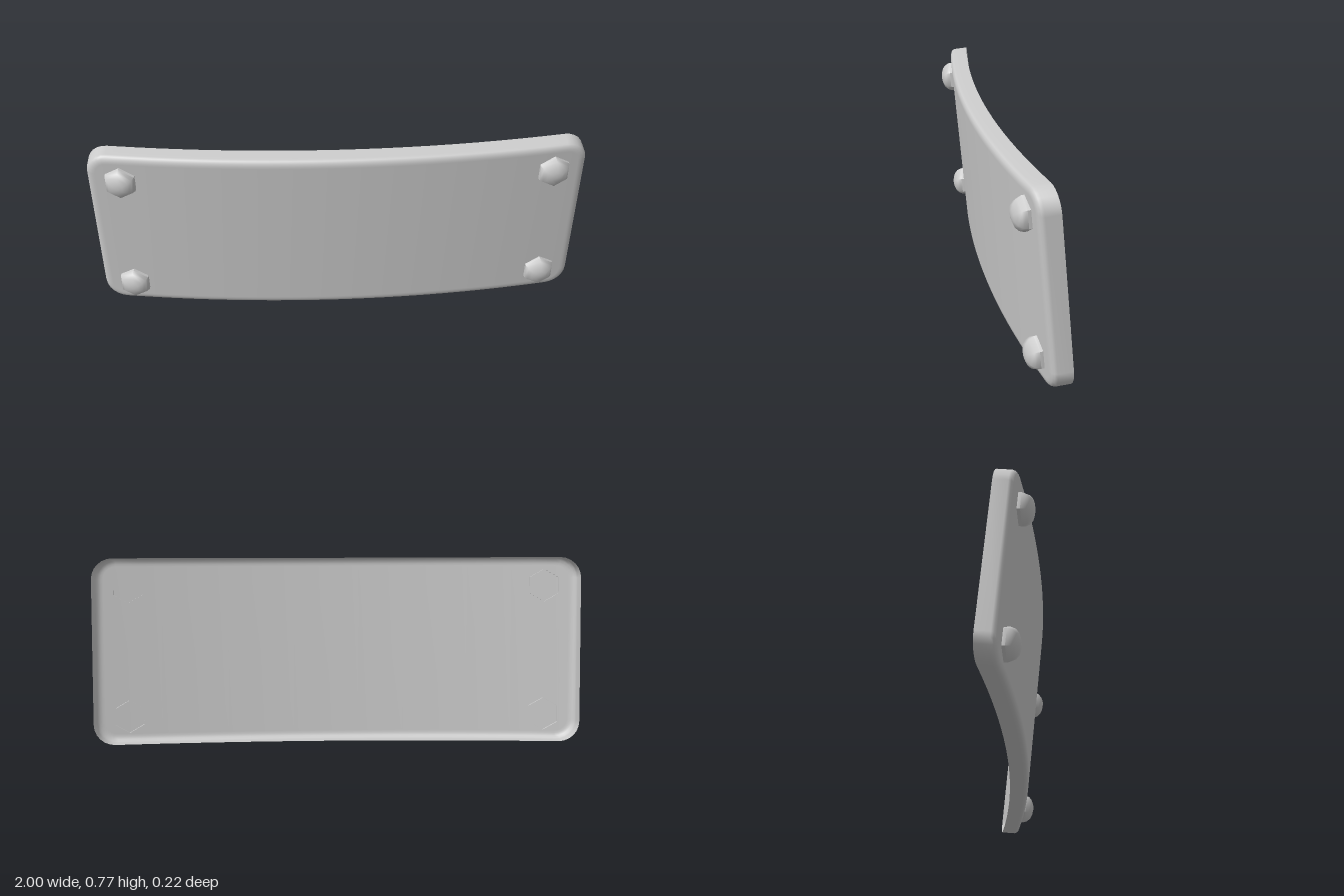
import * as THREE from 'three';
import { toCreasedNormals } from 'three/addons/utils/BufferGeometryUtils.js';

const HALF_W = 1, HALF_H = 0.382, CORNER = 0.085, SAG = 0.08;
const bow = (x) => -SAG * x * x;

// Rounded rectangle, anticlockwise: upper half from right to left, then its mirror
function outline(inset) {
  const cx = HALF_W - CORNER, cy = HALF_H - CORNER, r = CORNER - inset;
  const upper = [], arc = 6, cols = 20;
  for (let i = 0; i <= arc; i++) {
    const a = (i / arc) * Math.PI / 2;
    upper.push([cx + r * Math.cos(a), cy + r * Math.sin(a)]);
  }
  for (let i = 1; i < cols; i++) upper.push([cx * (1 - 2 * i / cols), cy + r]);
  for (let i = 0; i <= arc; i++) {
    const a = (1 + i / arc) * Math.PI / 2;
    upper.push([-cx + r * Math.cos(a), cy + r * Math.sin(a)]);
  }
  return [...upper, ...upper.map(([x, y]) => [x, -y]).reverse()];
}

// Bowed shell: rim rings from the open back to the front, closed by a front face
function shellGeometry() {
  const rings = [[0, -0.077], [0, -0.02], [0.004, -0.01], [0.012, -0.003], [0.024, 0], [0.034, 0]];
  const pos = [], index = [];
  let n = 0;
  for (const [inset, z] of rings) {
    const loop = outline(inset);
    n = loop.length;
    for (const [x, y] of loop) pos.push(x, y, z + bow(x));
  }
  for (let k = 0; k < rings.length - 1; k++) {
    for (let i = 0; i < n; i++) {
      const j = (i + 1) % n, a = k * n, b = a + n;
      index.push(a + i, a + j, b + j, a + i, b + j, b + i);
    }
  }
  const f = (rings.length - 1) * n;
  for (let i = 0; i < n / 2 - 1; i++) {
    const t0 = f + i, t1 = t0 + 1, b0 = f + n - 1 - i, b1 = b0 - 1;
    index.push(t0, t1, b1, t0, b1, b0);
  }
  const g = new THREE.BufferGeometry();
  g.setAttribute('position', new THREE.Float32BufferAttribute(pos, 3));
  g.setIndex(index);
  g.computeVertexNormals();
  return g;
}

// Six-sided domed bolt, open at the back, pointing along +z
function boltGeometry() {
  const profile = [[0.068, -0.014], [0.068, 0.012], [0.06, 0.03], [0.045, 0.043], [0.024, 0.051], [0, 0.054]];
  const g = new THREE.LatheGeometry(profile.map(([r, h]) => new THREE.Vector2(r, h)), 6);
  return toCreasedNormals(g.rotateX(Math.PI / 2), 1.0);
}

export function createModel() {
  const model = new THREE.Group();
  model.name = 'boltedPlate';
  const material = new THREE.MeshStandardMaterial({ color: 0xcccccc, side: THREE.DoubleSide });

  // Everything leans forward slightly
  const body = new THREE.Group();
  body.name = 'tiltedPlate';
  body.position.set(0, 0.386, 0.079);
  body.rotation.x = 0.093;
  model.add(body);

  const shell = new THREE.Mesh(shellGeometry(), material);
  shell.name = 'plateShell';
  body.add(shell);

  // One bolt near each corner, square to the bowed face
  const bolt = boltGeometry();
  for (const sx of [-1, 1]) {
    for (const sy of [-1, 1]) {
      const mesh = new THREE.Mesh(bolt, material);
      mesh.name = (sy > 0 ? 'upper' : 'lower') + (sx > 0 ? 'Left' : 'Right') + 'Bolt';
      const x = 0.867 * sx;
      mesh.position.set(x, 0.27 * sy - 0.005, bow(x));
      mesh.rotation.y = Math.atan(2 * SAG * x);
      body.add(mesh);
    }
  }
  return model;
}
